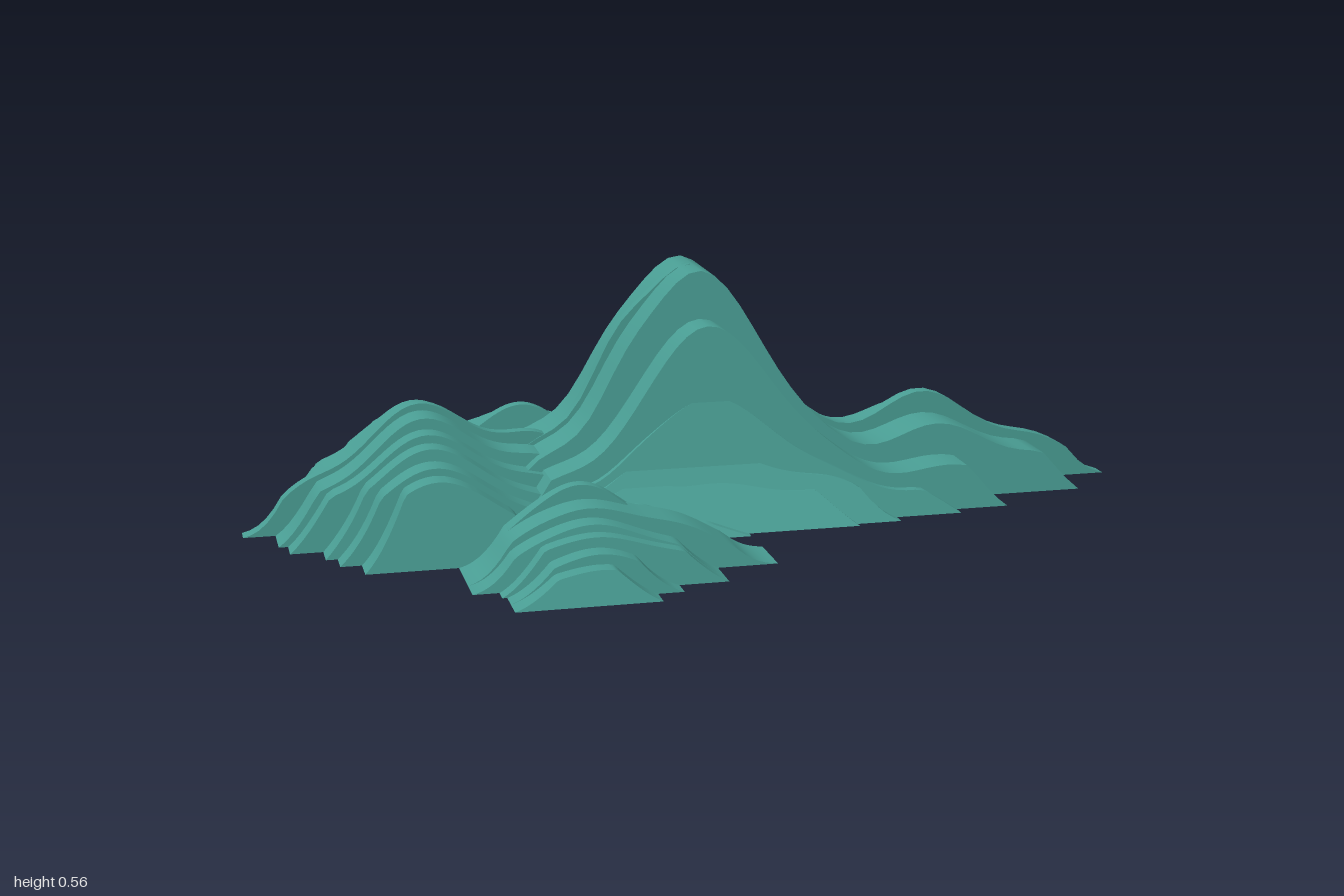
import * as THREE from 'three';
import { toCreasedNormals } from 'three/addons/utils/BufferGeometryUtils.js';

const STEPS = 48;
const FADE = 0.09;

export function createModel() {
  const group = new THREE.Group();
  const teal = new THREE.MeshStandardMaterial({ color: 0x4a9f95 });
  teal.name = 'teal rock';

  // One terrace: a skyline of summed bell-shaped humps that fades to the ground at x0 and x1.
  // near/far are [at the crest, at the base] z positions of its two leaning sides.
  function terrace(name, base, x0, x1, humps, heights, near, far) {
    const skyline = [];
    for (let i = 0; i <= STEPS; i++) {
      const x = x0 + ((x1 - x0) * i) / STEPS;
      const fade = Math.min(1, (x - x0) / FADE, (x1 - x) / FADE);
      const rise = humps.reduce((sum, [c, w], k) => sum + heights[k] * Math.exp(-(((x - c) / w) ** 2)), 0);
      skyline.push(new THREE.Vector2(x, base + Math.max(0, fade) * rise));
    }
    const crest = Math.max(...skyline.map((p) => p.y));
    const geo = new THREE.ExtrudeGeometry(new THREE.Shape(skyline), { depth: 1, bevelEnabled: false });
    const pos = geo.attributes.position;
    for (let i = 0; i < pos.count; i++) {
      const drop = (crest - pos.getY(i)) / (crest - base);
      const [top, bottom] = pos.getZ(i) > 0.5 ? near : far;
      pos.setZ(i, top + (bottom - top) * drop);
    }
    const mesh = new THREE.Mesh(toCreasedNormals(geo, 0.6), teal);
    mesh.name = name;
    group.add(mesh);
  }

  // A mountain: nested terraces, each row [half depth at crest, at base, x0, x1, ...hump heights]
  function mountain(name, base, humps, rows) {
    rows.forEach(([top, bottom, x0, x1, ...heights], i) =>
      terrace(name + 'Terrace' + (i + 1), base, x0, x1, humps, heights, [top, bottom], [-top, -bottom]));
  }

  // Main peak: summit, left crag, left foot, right shoulder, right toe, right foot
  mountain('mainPeak', 0.02,
    [[0, 0.22], [-0.18, 0.08], [-0.36, 0.13], [0.55, 0.19], [0.84, 0.13], [0.28, 0.12]],
    [
      [0.012, 0.02, -0.5, 1, 0.54, 0.09, 0.12, 0.22, 0.08, 0.06],
      [0.1, 0.14, -0.48, 0.89, 0.54, 0.06, 0.11, 0.17, 0.07, 0.06],
      [0.19, 0.235, -0.45, 0.68, 0.435, 0.01, 0.09, 0.1, 0, 0.06],
      [0.205, 0.265, -0.44, 0.56, 0.28, 0.02, 0.07, 0.06, 0, 0.05],
      [0.225, 0.295, -0.42, 0.41, 0.16, 0.05, 0.07, 0.02, 0, 0.06],
      [0.245, 0.31, -0.41, 0.31, 0.1, 0.05, 0.06, 0, 0, 0.05],
      [0.29, 0.33, -0.4, 0.06, 0.03, 0.05, 0.05, 0, 0, 0],
    ]);

  // Secondary mountain: summit, saddle, outer toe
  mountain('secondPeak', 0,
    [[-0.61, 0.19], [-0.33, 0.13], [-0.87, 0.1]],
    [
      [0.012, 0.02, -1, -0.15, 0.275, 0.16, 0.07],
      [0.09, 0.11, -0.93, -0.18, 0.26, 0.13, 0.06],
      [0.145, 0.165, -0.91, -0.22, 0.237, 0.1, 0.06],
      [0.2, 0.225, -0.84, -0.26, 0.22, 0.07, 0.05],
      [0.265, 0.28, -0.815, -0.3, 0.195, 0.05, 0.03],
      [0.32, 0.345, -0.77, -0.36, 0.18, 0.03, 0],
    ]);

  // Low outlying hills, mirrored front and back: [inner z, outer z at crest, at base, x0, x1, ...heights]
  const hillHumps = [[-0.32, 0.14], [-0.12, 0.13], [-0.47, 0.1]];
  [
    [0.35, 0.38, 0.395, -0.57, -0.03, 0.165, 0.04, 0.04],
    [0.36, 0.455, 0.47, -0.575, 0.08, 0.13, 0.08, 0.05],
    [0.44, 0.51, 0.53, -0.575, -0.05, 0.115, 0.05, 0.04],
    [0.49, 0.55, 0.565, -0.52, -0.05, 0.1, 0.05, 0.04],
    [0.54, 0.6, 0.61, -0.51, -0.155, 0.085, 0.01, 0.02],
    [0.59, 0.64, 0.66, -0.51, -0.21, 0.065, 0.01, 0.02],
  ].forEach(([inner, top, bottom, x0, x1, ...heights], i) => {
    const foot = inner - 0.015;
    terrace('frontHillTerrace' + (i + 1), 0, x0, x1, hillHumps, heights, [top, bottom], [inner, foot]);
    terrace('backHillTerrace' + (i + 1), 0, x0, x1, hillHumps, heights, [-inner, -foot], [-top, -bottom]);
  });

  return group;
}
